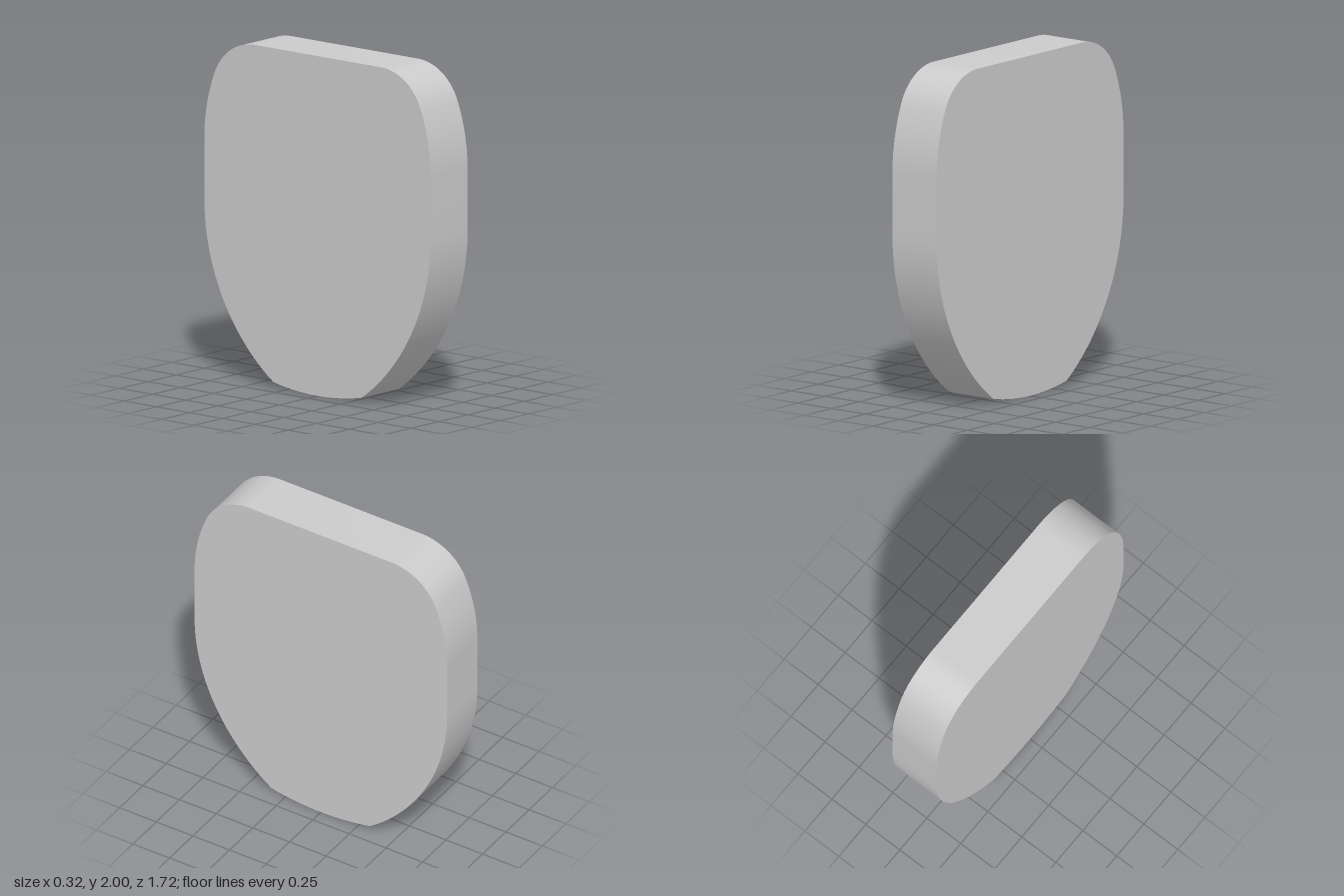
import * as THREE from 'three';
import { toCreasedNormals } from 'three/addons/utils/BufferGeometryUtils.js';

const THICKNESS = 0.325;
const HALF_WIDTH = 0.862;

// Points along an arc, leaving out its first point so that arcs chain cleanly
function arc(cx, cy, r, from, to, n) {
  return Array.from({ length: n }, (_, i) => {
    const a = from + (to - from) * (i + 1) / n;
    return new THREE.Vector2(cx + r * Math.cos(a), cy + r * Math.sin(a));
  });
}

// Half outline: bottom centre, lower flank, upper flank, rounded shoulder
function halfOutline() {
  const bottomR = 1.62, flankR = 1.244, upperR = 1.04, shoulderR = 0.325;
  const bottomA = Math.asin(0.335 / bottomR);
  const flankA = Math.asin(1.015 / flankR);
  const upperA = Math.asin(0.4 / upperR);
  const upperX = HALF_WIDTH - upperR;
  const shoulderX = upperX + (upperR - shoulderR) * Math.cos(upperA);
  const shoulderY = 2 - shoulderR;
  return [
    ...arc(0, bottomR, bottomR, -Math.PI / 2, -Math.PI / 2 + bottomA, 8),
    ...arc(HALF_WIDTH - flankR, 1.05, flankR, -flankA, 0, 28),
    new THREE.Vector2(HALF_WIDTH, 1.4),
    ...arc(upperX, 1.4, upperR, 0, upperA, 12),
    ...arc(shoulderX, shoulderY, shoulderR, upperA, Math.PI / 2, 24),
  ];
}

export function createModel() {
  const group = new THREE.Group();
  group.name = 'shieldPlate';

  // Mirror the half outline, closing it through the bottom centre
  const half = halfOutline();
  const mirrored = half.map(p => new THREE.Vector2(-p.x, p.y)).reverse();
  const shape = new THREE.Shape([new THREE.Vector2(0, 0), ...half, ...mirrored]);

  // Extrude to a flat plate whose broad faces look along x
  const plate = new THREE.ExtrudeGeometry(shape, { depth: THICKNESS, bevelEnabled: false });
  plate.translate(0, 0, -THICKNESS / 2);
  plate.rotateY(Math.PI / 2);

  const mesh = new THREE.Mesh(
    toCreasedNormals(plate, THREE.MathUtils.degToRad(15)),
    new THREE.MeshStandardMaterial({ color: 0xcccccc })
  );
  mesh.name = 'plate';
  group.add(mesh);
  return group;
}
